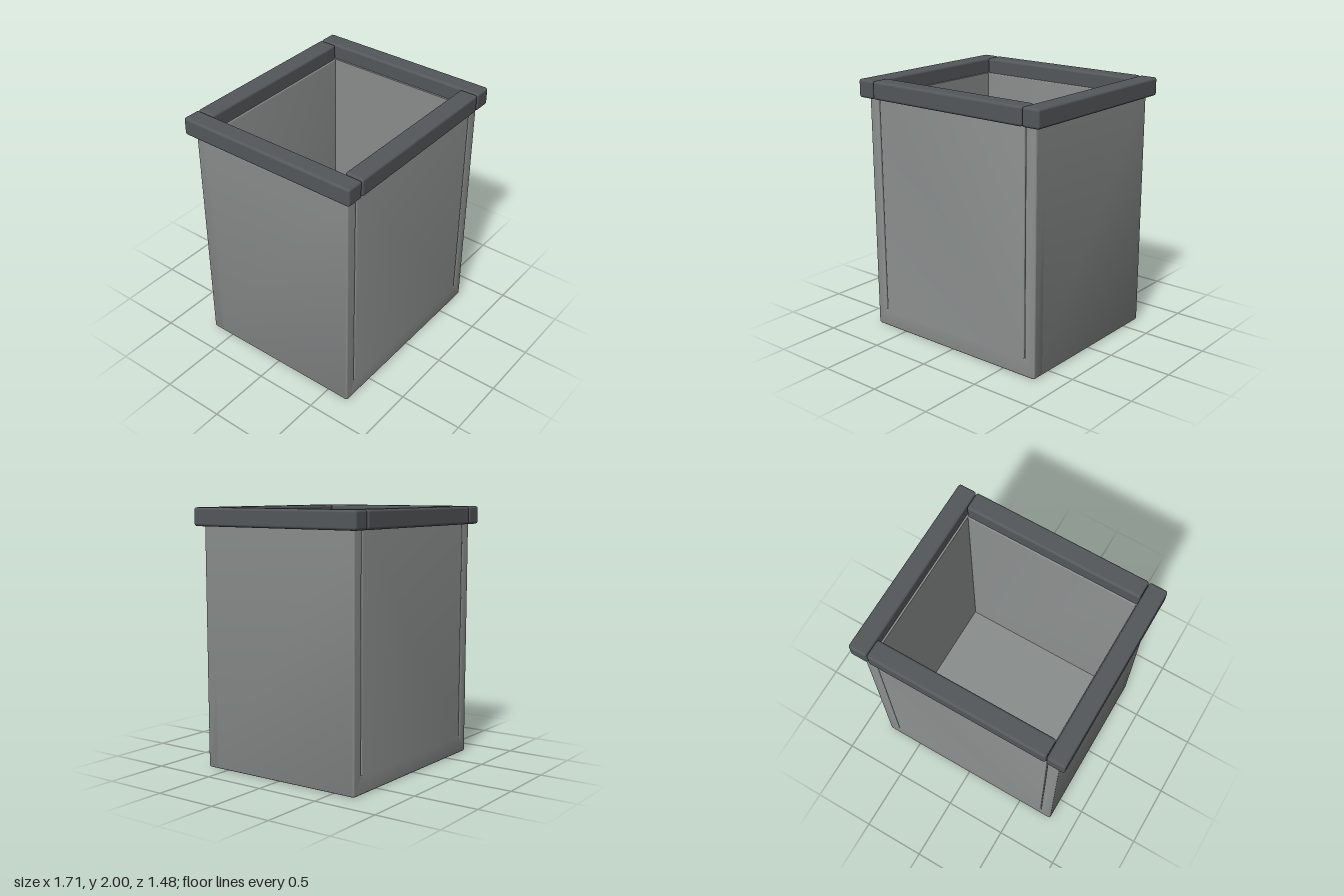
import * as THREE from 'three';
import { RoundedBoxGeometry } from 'three/addons/geometries/RoundedBoxGeometry.js';
import { toCreasedNormals } from 'three/addons/utils/BufferGeometryUtils.js';

const HALF_W = 0.795, HALF_D = 0.685, WALL_TOP = 1.88;
const SEAM_X = 0.7, SEAM_BOTTOM = 0.145, BEVEL = 0.012;

export function createModel() {
  const model = new THREE.Group();
  const bodyGrey = new THREE.MeshStandardMaterial({ color: 0x8a8e8d });
  bodyGrey.name = 'body grey';
  const rimGrey = new THREE.MeshStandardMaterial({ color: 0x54585b });
  rimGrey.name = 'rim dark grey';

  const add = (name, geometry, material, x = 0, y = 0, z = 0) => {
    const mesh = new THREE.Mesh(geometry, material);
    mesh.name = name;
    mesh.position.set(x, y, z);
    model.add(mesh);
  };

  // Side walls and floor: one U-shaped section with rounded lower corners
  const inner = 0.695, floor = 0.13, r = 0.02;
  const section = new THREE.Shape();
  section.moveTo(-HALF_W + r, 0);
  section.lineTo(HALF_W - r, 0);
  section.quadraticCurveTo(HALF_W, 0, HALF_W, r);
  section.lineTo(HALF_W, WALL_TOP);
  section.lineTo(inner, WALL_TOP);
  section.lineTo(inner, floor);
  section.lineTo(-inner, floor);
  section.lineTo(-inner, WALL_TOP);
  section.lineTo(-HALF_W, WALL_TOP);
  section.lineTo(-HALF_W, r);
  section.quadraticCurveTo(-HALF_W, 0, -HALF_W + r, 0);
  const coreDepth = 2 * (HALF_D - BEVEL);
  const core = new THREE.ExtrudeGeometry(section, {
    depth: coreDepth, bevelEnabled: false, curveSegments: 4,
  });
  core.translate(0, 0, -coreDepth / 2);
  add('sideWallsAndFloor', toCreasedNormals(core, 0.6), bodyGrey);

  // Front and back walls: bevelled slabs with two narrow vertical seams
  const slit = 0.002;
  const face = new THREE.Shape();
  face.moveTo(-HALF_W + r, 0);
  face.lineTo(HALF_W - r, 0);
  face.quadraticCurveTo(HALF_W, 0, HALF_W, r);
  face.lineTo(HALF_W, WALL_TOP);
  for (const side of [1, -1]) {
    const x = side * SEAM_X;
    face.lineTo(x + slit, WALL_TOP);
    face.lineTo(x + slit, SEAM_BOTTOM);
    face.lineTo(x - slit, SEAM_BOTTOM);
    face.lineTo(x - slit, WALL_TOP);
  }
  face.lineTo(-HALF_W, WALL_TOP);
  face.lineTo(-HALF_W, r);
  face.quadraticCurveTo(-HALF_W, 0, -HALF_W + r, 0);
  const thickness = 0.105;
  const slab = toCreasedNormals(new THREE.ExtrudeGeometry(face, {
    depth: thickness - 2 * BEVEL, bevelEnabled: true, bevelSize: BEVEL,
    bevelThickness: BEVEL, bevelOffset: -BEVEL, bevelSegments: 3, curveSegments: 4,
  }), 0.6);
  slab.translate(0, 0, HALF_D - thickness + BEVEL);
  add('frontWall', slab, bodyGrey);
  add('backWall', slab.clone().rotateY(Math.PI), bodyGrey);

  // Rim: two long side rails with the front and back rails between them
  const sideRail = new RoundedBoxGeometry(0.145, 0.14, 1.48, 3, 0.02);
  const crossRail = new RoundedBoxGeometry(1.414, 0.14, 0.15, 3, 0.02);
  add('leftRimRail', sideRail, rimGrey, 0.7825, 1.93, 0);
  add('rightRimRail', sideRail, rimGrey, -0.7825, 1.93, 0);
  add('frontRimRail', crossRail, rimGrey, 0, 1.93, 0.665);
  add('backRimRail', crossRail, rimGrey, 0, 1.93, -0.665);

  return model;
}
